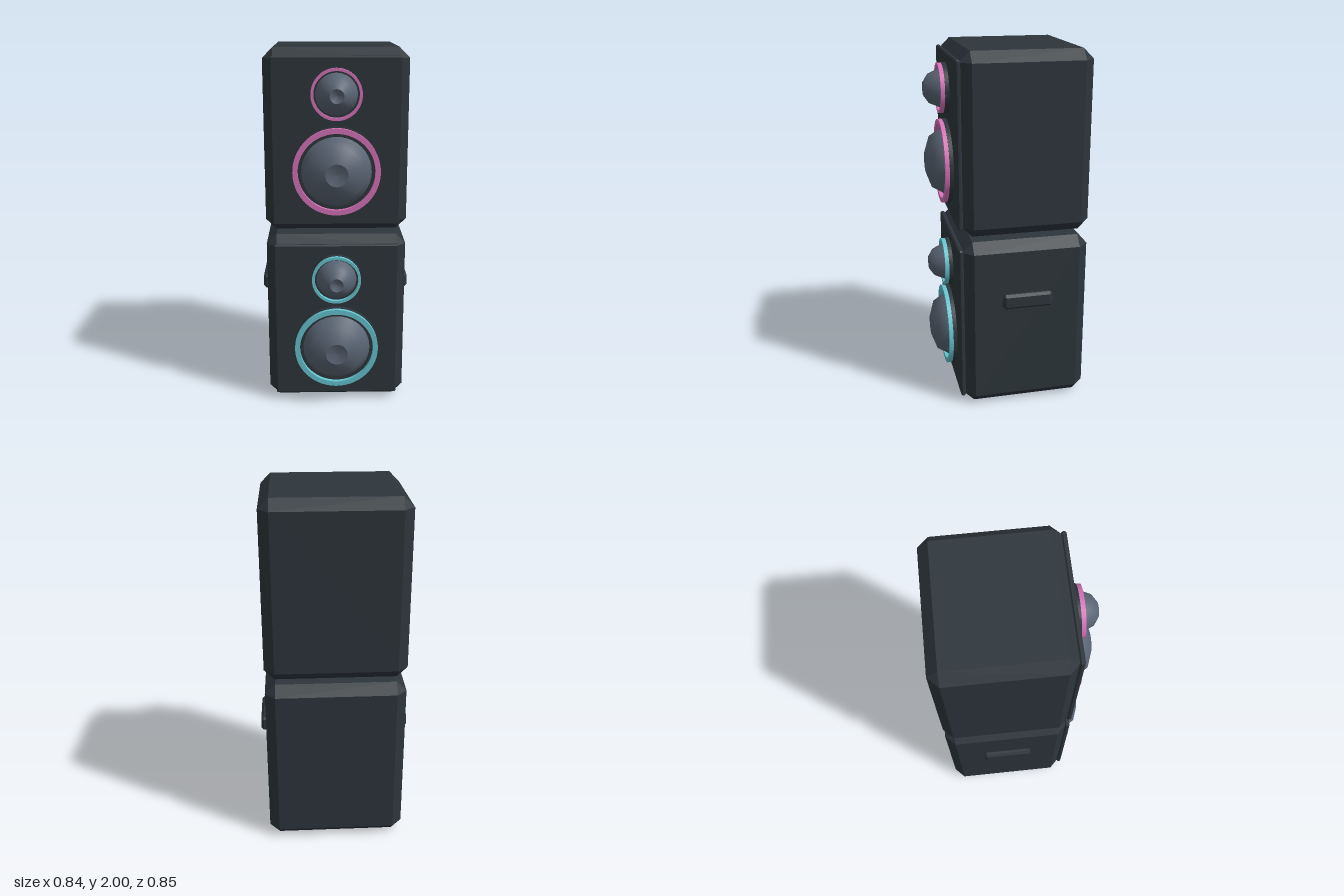
import * as THREE from 'three';
import { ConvexGeometry } from 'three/addons/geometries/ConvexGeometry.js';

const material = (name, color) => {
  const m = new THREE.MeshStandardMaterial({ color });
  m.name = name;
  return m;
};

// Box with every edge cut at 45 degrees
function chamferBox(w, h, d, c) {
  const x = w / 2, y = h / 2, z = d / 2, points = [];
  for (const sx of [-1, 1]) for (const sy of [-1, 1]) for (const sz of [-1, 1]) {
    points.push(
      new THREE.Vector3(sx * x, sy * (y - c), sz * (z - c)),
      new THREE.Vector3(sx * (x - c), sy * y, sz * (z - c)),
      new THREE.Vector3(sx * (x - c), sy * (y - c), sz * z));
  }
  return new ConvexGeometry(points);
}

// Profile of [radius, z] pairs turned about the z axis
function turned(profile) {
  const g = new THREE.LatheGeometry(profile.map(([r, z]) => new THREE.Vector2(r, z)), 40);
  return g.rotateX(Math.PI / 2);
}

function flatRing(outer, inner, depth) {
  const shape = new THREE.Shape().absarc(0, 0, outer, 0, Math.PI * 2);
  shape.holes.push(new THREE.Path().absarc(0, 0, inner, 0, Math.PI * 2, true));
  return new THREE.ExtrudeGeometry(shape, { depth, bevelEnabled: false, curveSegments: 40 });
}

export function createModel() {
  const cabinetMat = material('charcoal', 0x2d353b);
  const coneMat = material('slate', 0x596473);
  const pink = material('pink', 0xd673b8);
  const cyan = material('cyan', 0x66c4d0);

  const add = (parent, name, geometry, mat, x = 0, y = 0, z = 0) => {
    const mesh = new THREE.Mesh(geometry, mat);
    mesh.name = name;
    mesh.position.set(x, y, z);
    parent.add(mesh);
  };

  // Base disc, coloured trim ring, domed cone and dished centre
  function driver(name, y, size, ringMat) {
    const g = new THREE.Group();
    g.name = name;
    g.position.y = y;
    const base = new THREE.CylinderGeometry(size.base, size.base, 0.03, 40).rotateX(Math.PI / 2);
    add(g, 'driverBase', base, cabinetMat, 0, 0, 0.307);
    add(g, 'trimRing', flatRing(size.ring, size.inner, 0.024), ringMat, 0, 0, 0.321);
    add(g, 'cone', turned(size.cone), coneMat);
    add(g, 'coneCentre', turned([[size.cap, 0.423], [size.cap * 0.5, 0.414], [0, 0.411]]), coneMat);
    return g;
  }

  const woofer = {
    base: 0.238, ring: 0.234, inner: 0.206, cap: 0.06,
    cone: [[0.19, 0.318], [0.172, 0.345], [0.144, 0.393], [0.06, 0.423]],
  };
  const tweeter = {
    base: 0.138, ring: 0.135, inner: 0.12, cap: 0.037,
    cone: [[0.112, 0.318], [0.1, 0.345], [0.078, 0.395], [0.037, 0.423]],
  };

  function speaker(name, bottom, ringMat) {
    const g = new THREE.Group();
    g.name = name;
    g.position.y = bottom;
    add(g, 'cabinet', chamferBox(0.774, 0.982, 0.704, 0.056), cabinetMat, 0, 0.491, -0.072);
    add(g, 'frontPanel', chamferBox(0.69, 0.9, 0.026, 0.007), cabinetMat, 0, 0.49, 0.287);
    g.add(driver('woofer', 0.34, woofer, ringMat));
    g.add(driver('tweeter', 0.748, tweeter, ringMat));
    return g;
  }

  const model = new THREE.Group();
  model.name = 'speakerStack';
  const lower = speaker('lowerSpeaker', 0.003, cyan);
  model.add(lower, speaker('upperSpeaker', 1.018, pink));

  // Side handles on the lower cabinet
  for (const [name, side] of [['leftHandle', 1], ['rightHandle', -1]]) {
    add(lower, name, chamferBox(0.042, 0.086, 0.28, 0.014), cabinetMat, side * 0.4, 0.643, -0.071);
  }
  return model;
}
